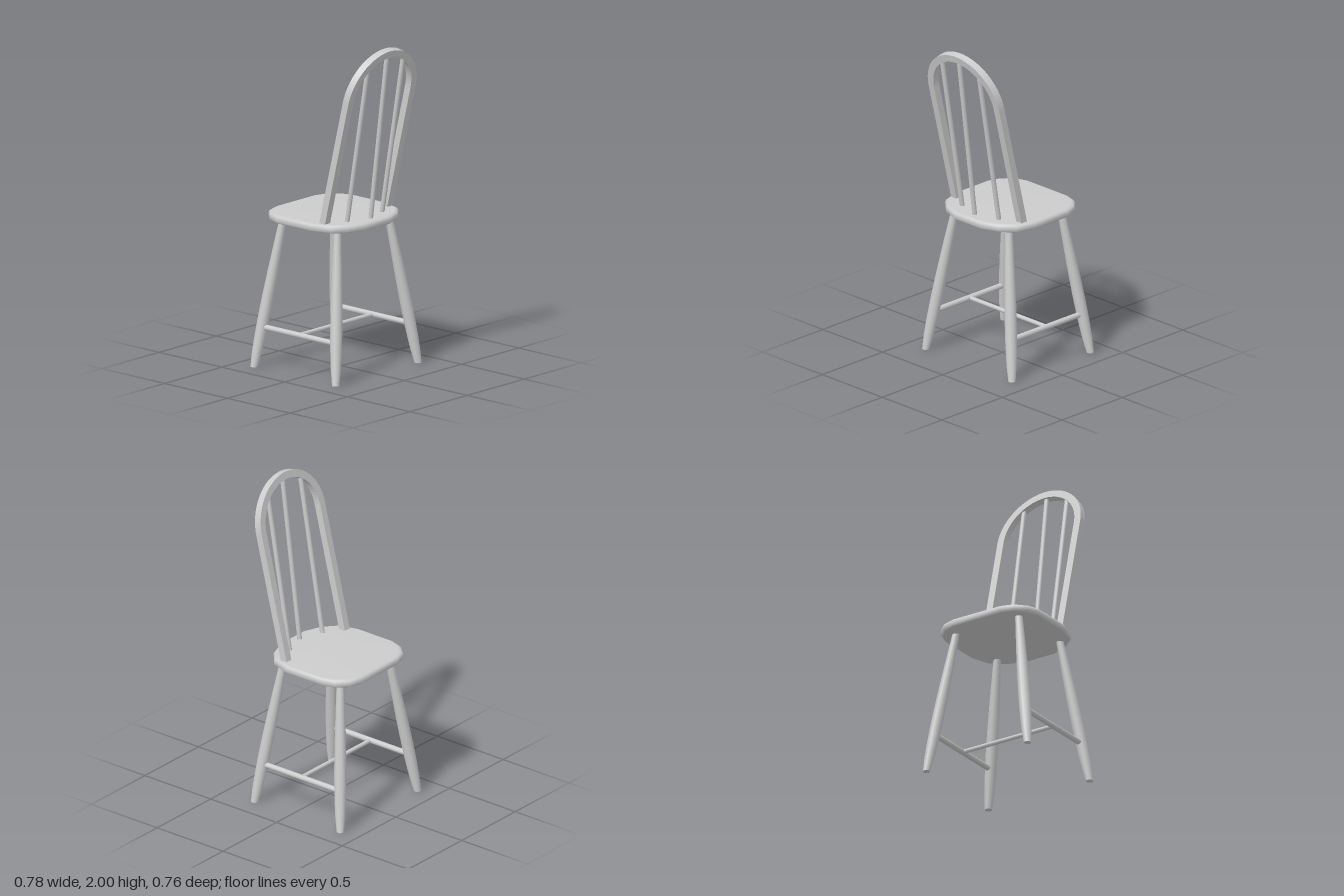
import * as THREE from 'three';

const material = new THREE.MeshStandardMaterial({ color: 0xcccccc });
const CX = -0.045; // centre of the seat and legs; the chair faces -x

function add(group, name, geometry) {
  const mesh = new THREE.Mesh(geometry, material);
  mesh.name = name;
  group.add(mesh);
  return mesh;
}

// Round bar between two points
function bar(group, name, from, to, radius) {
  const a = new THREE.Vector3(...from), b = new THREE.Vector3(...to);
  const dir = b.clone().sub(a);
  const mesh = add(group, name, new THREE.CylinderGeometry(radius, radius, dir.length(), 12));
  mesh.position.copy(a).add(b).multiplyScalar(0.5);
  mesh.quaternion.setFromUnitVectors(new THREE.Vector3(0, 1, 0), dir.normalize());
}

// Seat slab: one outline lofted through a softened edge profile
function seatGeometry() {
  const half = [[-0.38, 0.17], [-0.355, 0.25], [-0.29, 0.312], [-0.21, 0.338],
    [0.06, 0.338], [0.18, 0.30], [0.25, 0.22], [0.292, 0.11]];
  const outline = [...half, ...half.map(([x, z]) => [x, -z]).reverse()];
  const n = outline.length;
  const rings = [[0.01, 0.895], [0, 0.904], [0, 0.925], [0.007, 0.937], [0.022, 0.944]]; // inset, y
  const pos = [], index = [];
  const pushRing = ([inset, y]) => {
    const s = 1 - inset / 0.335;
    for (const [x, z] of outline) pos.push(CX + (x - CX) * s, y, z * s);
  };
  rings.forEach(pushRing);
  for (let r = 0; r < rings.length - 1; r++) {
    for (let i = 0; i < n; i++) {
      const j = (i + 1) % n, a = r * n, b = a + n;
      index.push(a + i, a + j, b + j, a + i, b + j, b + i);
    }
  }
  // Top cap shares its rim for a soft edge; the flat underside has its own rim
  const top = pos.length / 3;
  pos.push(CX, 0.946, 0);
  const rim = (rings.length - 1) * n;
  for (let i = 0; i < n; i++) index.push(top, rim + i, rim + (i + 1) % n);
  const under = pos.length / 3;
  pushRing(rings[0]);
  pos.push(CX, 0.895, 0);
  for (let i = 0; i < n; i++) index.push(under + n, under + (i + 1) % n, under + i);
  const g = new THREE.BufferGeometry();
  g.setAttribute('position', new THREE.Float32BufferAttribute(pos, 3));
  g.setIndex(index);
  g.computeVertexNormals();
  return g;
}

// Swelling leg, sheared outwards so the foot sits flat on the ground
function legGeometry(sx, sz) {
  const h = 0.91;
  const g = new THREE.CylinderGeometry(1, 1, h, 14, 10);
  g.translate(0, h / 2, 0);
  const p = g.attributes.position;
  for (let i = 0; i < p.count; i++) {
    const t = Math.min(1, Math.max(0, p.getY(i) / h));
    const r = 0.022 + 0.014 * Math.sin(Math.PI * Math.pow(t, 0.7));
    p.setX(i, p.getX(i) * r);
    p.setZ(i, p.getZ(i) * r);
  }
  const footX = 0.325, footZ = 0.36, topX = 0.214, topZ = 0.222;
  return g.applyMatrix4(new THREE.Matrix4().set(
    1, sx * (topX - footX) / h, 0, CX + sx * footX,
    0, 1, 0, 0,
    0, sz * (topZ - footZ) / h, 1, sz * footZ,
    0, 0, 0, 1));
}

// Arched back frame of square section
function hoopGeometry(straight, outer, inner, depth) {
  const s = new THREE.Shape();
  s.moveTo(outer, 0);
  s.lineTo(outer, straight);
  s.absarc(0, straight, outer, 0, Math.PI, false);
  s.lineTo(-outer, 0);
  s.lineTo(-inner, 0);
  s.lineTo(-inner, straight);
  s.absarc(0, straight, inner, Math.PI, 0, true);
  s.lineTo(inner, 0);
  s.closePath();
  const g = new THREE.ExtrudeGeometry(s, { depth, bevelEnabled: false, curveSegments: 18 });
  return g.translate(0, 0, -depth / 2).rotateY(Math.PI / 2);
}

export function createModel() {
  const chair = new THREE.Group();
  chair.name = 'chair';
  add(chair, 'seat', seatGeometry());

  for (const sz of [1, -1]) {
    add(chair, 'frontLeg', legGeometry(-1, sz));
    add(chair, 'backLeg', legGeometry(1, sz));
    bar(chair, 'sideStretcher', [CX - 0.29, 0.242, sz * 0.323], [CX + 0.29, 0.242, sz * 0.323], 0.017);
  }
  bar(chair, 'crossStretcher', [CX, 0.242, -0.323], [CX, 0.242, 0.323], 0.013);

  // Leaning back
  const lean = 0.2392, straight = 0.811, outer = 0.295, inner = 0.25, mid = 0.272;
  const base = [0.107, 0.92];
  const hoop = add(chair, 'backHoop', hoopGeometry(straight, outer, inner, 0.044));
  hoop.position.set(base[0], base[1], 0);
  hoop.rotation.z = -lean;

  // Spindles rise from the seat to the middle of the hoop
  for (const z of [-0.153, 0, 0.153]) {
    const along = straight + Math.sqrt(mid * mid - z * z);
    bar(chair, 'backSpindle', [z ? 0.18 : 0.229, 0.925, z],
      [base[0] + along * Math.sin(lean), base[1] + along * Math.cos(lean), z], 0.0145);
  }
  return chair;
}
